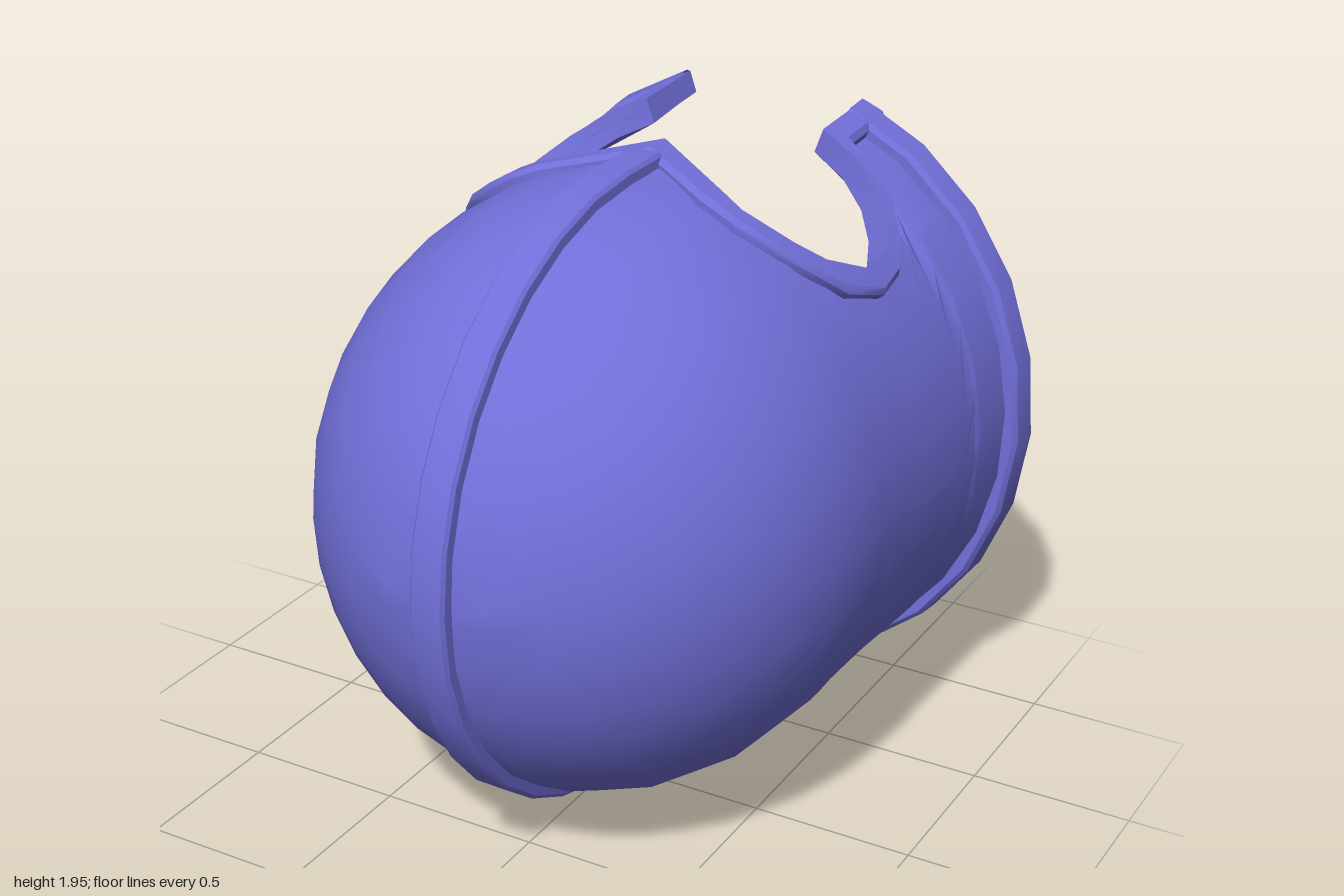
import * as THREE from 'three';
import { mergeGeometries, toCreasedNormals } from 'three/addons/utils/BufferGeometryUtils.js';

const PI = Math.PI;
const TRIM = 0.035; // height of the raised edging
const WALL = -0.06; // depth of the inner surface

// Opening edge and outer edge of its trim, as [x, z] on the +x side
const EDGE = [[0.3, -1], [0.3, -0.88], [0.3, -0.72], [0.42, -0.69], [0.52, -0.635], [0.59, -0.56],
  [0.63, -0.48], [0.64, -0.36], [0.57, -0.2], [0.5, -0.135], [0.36, -0.085], [0.3, -0.105], [0, -0.295]];
const OUTER = [[0.38, -1], [0.38, -0.9], [0.38, -0.77], [0.47, -0.735], [0.57, -0.67], [0.64, -0.57],
  [0.68, -0.48], [0.69, -0.36], [0.65, -0.21], [0.55, -0.095], [0.38, -0.018], [0.26, -0.03], [0, -0.19]];
const SIDE_EDGE = EDGE.slice(0, 11);
const NOSE_EDGE = EDGE.slice(10).reverse();

const flare = (s) => Math.min(s, 0) ** 2 / 0.81;
const radiusX = (s) => 0.84 + 0.032 * flare(s);

// Helmet surface: s < 0 is z along the barrel, s > 0 is the dome's latitude;
// angle runs from the top (+y) towards +x, and o lifts the point off the surface.
function surface(angle, s, o) {
  const lat = Math.max(s, 0);
  const r = Math.cos(lat);
  return [
    (radiusX(s) + o) * r * Math.sin(angle),
    1 + (0.92 + 0.025 * flare(s) + o) * r * Math.cos(angle),
    s > 0 ? (0.96 + o) * Math.sin(lat) : s,
  ];
}

const angleAt = (x, z) => Math.asin(x / (radiusX(z) + TRIM));
const innerOffset = (s) => WALL + 0.025 * Math.min(flare(s), 1);

// x of an edge line at a given z
function edgeX(line, z) {
  for (let i = 1; i < line.length; i++) {
    const [x0, z0] = line[i - 1], [x1, z1] = line[i];
    if (z <= z1 + 1e-6) return x0 + (x1 - x0) * (z - z0) / (z1 - z0);
  }
  return line[line.length - 1][0];
}

// Skin rows of points with quads
function skin(rows, flip = false) {
  const n = rows[0].length, index = [];
  for (let i = 0; i + 1 < rows.length; i++) {
    for (let j = 0; j + 1 < n; j++) {
      const a = i * n + j, b = a + n, c = b + 1, d = a + 1;
      if (flip) index.push(a, c, b, a, d, c);
      else index.push(a, b, c, a, c, d);
    }
  }
  const g = new THREE.BufferGeometry();
  g.setAttribute('position', new THREE.Float32BufferAttribute(rows.flat(2), 3));
  g.setIndex(index);
  return g;
}

// The same skin on both sides of the x = 0 plane
const bothSides = (rows, flip = false) => [
  skin(rows, flip),
  skin(rows.map((row) => row.map(([x, y, z]) => [-x, y, z])), !flip),
];

const spread = (from, to, n) => Array.from({ length: n + 1 }, (_, i) => from + (to - from) * i / n);

export function createModel() {
  const group = new THREE.Group();
  const violet = new THREE.MeshStandardMaterial({ color: 0x716fd8, side: THREE.DoubleSide });
  violet.name = 'violet';

  const add = (name, parts) => {
    const mesh = new THREE.Mesh(toCreasedNormals(mergeGeometries(parts), 0.6), violet);
    mesh.name = name;
    group.add(mesh);
  };

  // Shell rows: barrel rows follow the edge points, dome rows follow the latitude
  const dome = spread(0, PI / 2, 8);
  const sideRows = [...SIDE_EDGE.map((p) => p[1]), ...dome];
  const noseRows = [-0.295, -0.2, -0.135, -0.105, -0.085, ...dome];
  const joint = angleAt(...EDGE[10]);

  const sideSkin = (offset) => sideRows.map((s) => {
    const start = s < -0.085 ? angleAt(edgeX(SIDE_EDGE, s), s) : joint;
    return spread(start, PI, 12).map((a) => surface(a, s, offset(s)));
  });
  const noseSkin = (offset) => noseRows.map((s) => {
    const end = s < -0.085 ? angleAt(edgeX(NOSE_EDGE, s), s) : joint;
    return spread(0, end, 4).map((a) => surface(a, s, offset(s)));
  });
  const zero = () => 0;
  add('outerShell', [...bothSides(sideSkin(zero)), ...bothSides(noseSkin(zero))]);
  add('innerShell', [...bothSides(sideSkin(innerOffset), true), ...bothSides(noseSkin(innerOffset), true)]);

  // Raised trim and cut wall around the face opening
  const trim = EDGE.map(([x, z], i) => {
    const [ox, oz] = OUTER[i];
    const mx = ox + (x - ox) * 0.2, mz = oz + (z - oz) * 0.2;
    return [
      surface(angleAt(x, z), z, innerOffset(z)),
      surface(angleAt(x, z), z, TRIM),
      surface(angleAt(mx, mz), mz, TRIM),
      surface(angleAt(ox, oz), oz, 0.02),
      surface(angleAt(ox, oz), oz, -0.01),
    ];
  });
  add('openingTrim', bothSides(trim));

  // Rim around the neck, broken by the slot
  const rimProfile = [[-1, -0.035], [-1, 0.03], [-0.985, 0.043], [-0.9, 0.041], [-0.885, 0.028], [-0.885, -0.01]];
  const rim = rimProfile.map(([z, o]) => {
    const start = angleAt(0.3, z);
    return spread(start, 2 * PI - start, 22).map((a) => surface(a, z, o));
  });
  add('neckRim', [skin(rim)]);

  // Crest along the midline: over the top, round the dome and back underneath
  const path = [
    [0, -0.18],
    ...spread(0, PI / 2, 8).map((s) => [0, s]),
    ...spread(PI / 2, 0, 8).slice(1).map((s) => [PI, s]),
    ...[-0.3, -0.6, -0.89].map((s) => [PI, s]),
  ];
  const crestSection = [[-0.058, -0.015], [-0.055, 0.025], [-0.046, 0.036], [0.046, 0.036], [0.055, 0.025], [0.058, -0.015]];
  const crest = path.map(([a, s]) => crestSection.map(([x, o]) => {
    const p = surface(a, s, o);
    return [x, p[1], p[2]];
  }));
  add('crest', [skin(crest)]);

  return group;
}
